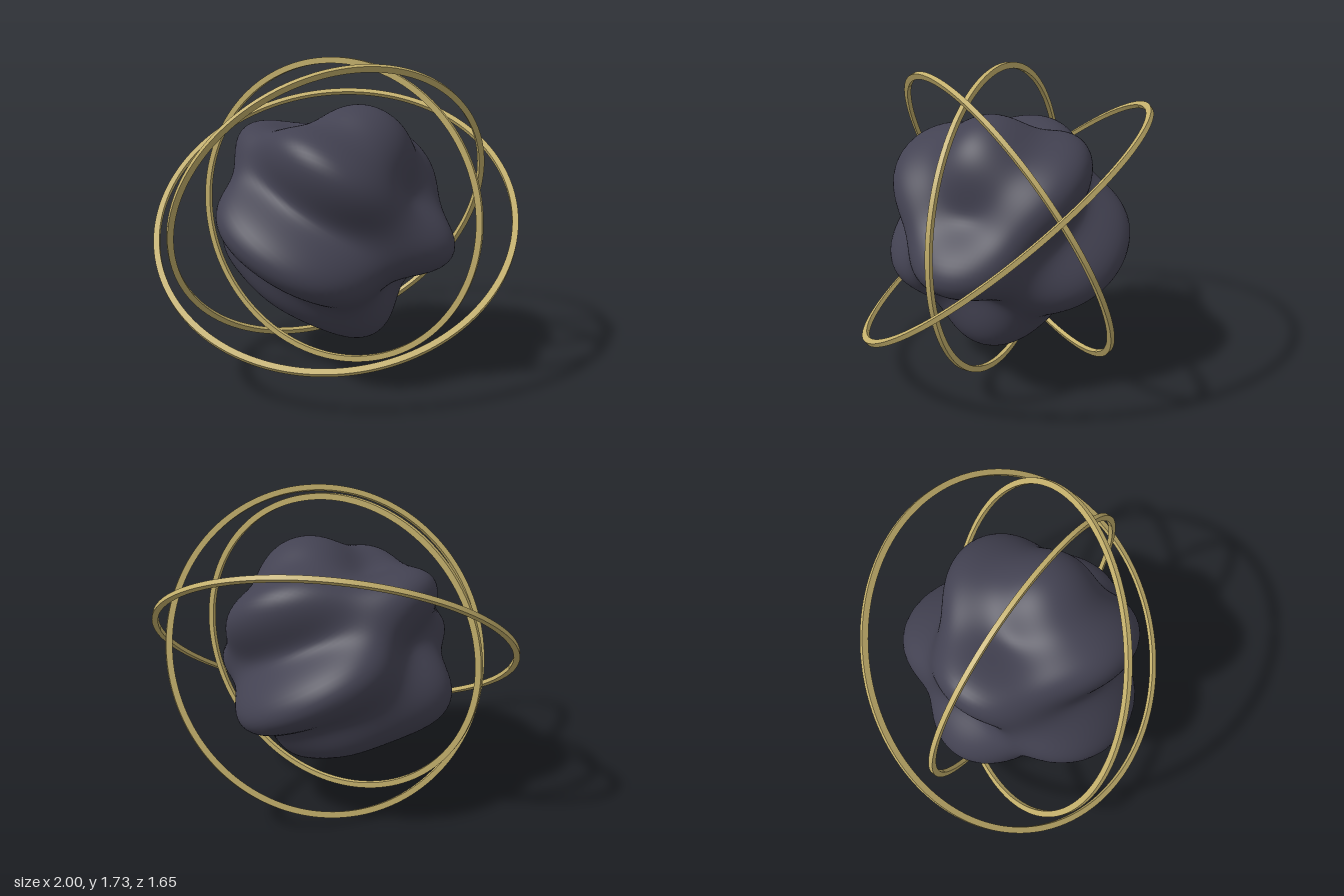
import * as THREE from 'three';
import { mergeVertices, toCreasedNormals } from 'three/addons/utils/BufferGeometryUtils.js';

const CENTRE_Y = 0.87;

// Sphere pushed in and out by crossed waves, with smooth normals
function rippledBlob(radius, amplitude) {
  let geo = new THREE.IcosahedronGeometry(1, 28);
  geo.deleteAttribute('normal');
  geo.deleteAttribute('uv');
  geo = mergeVertices(geo, 1e-4);
  const pos = geo.attributes.position;
  const d = new THREE.Vector3();
  for (let i = 0; i < pos.count; i++) {
    d.fromBufferAttribute(pos, i).normalize();
    const wave = Math.sin(3 * d.x + 6 * d.y) * Math.cos(3 * d.z);
    d.multiplyScalar(radius + amplitude * wave);
    pos.setXYZ(i, d.x, d.y, d.z);
  }
  geo.computeVertexNormals();
  return geo;
}

// Flat band with a rectangular section, its axis along z
function bandRing(outer, width, depth) {
  const shape = new THREE.Shape().absarc(0, 0, outer, 0, Math.PI * 2, false);
  shape.holes.push(new THREE.Path().absarc(0, 0, outer - width, 0, Math.PI * 2, true));
  const geo = new THREE.ExtrudeGeometry(shape, { depth, bevelEnabled: false, curveSegments: 96 });
  geo.translate(0, 0, -depth / 2);
  return toCreasedNormals(geo, 0.6);
}

export function createModel() {
  const model = new THREE.Group();
  model.name = 'ringedBlob';

  const slate = new THREE.MeshStandardMaterial({ color: 0x434252 });
  slate.name = 'dark slate';
  const gold = new THREE.MeshStandardMaterial({ color: 0xc4b06c });
  gold.name = 'pale gold';

  // Core
  const core = new THREE.Mesh(rippledBlob(0.605, 0.112), slate);
  core.name = 'core';
  core.position.y = CENTRE_Y;
  model.add(core);

  // Three nested rings: name, outer radius, axis direction
  const rings = [
    ['innerRing', 0.865, [0, 0, 1]],
    ['middleRing', 0.94, [0.688, -0.461, 0.561]],
    ['outerRing', 1.017, [0.207, 0.776, 0.594]],
  ];
  const zAxis = new THREE.Vector3(0, 0, 1);
  for (const [name, outer, axis] of rings) {
    const ring = new THREE.Mesh(bandRing(outer, 0.033, 0.025), gold);
    ring.name = name;
    ring.position.y = CENTRE_Y;
    ring.quaternion.setFromUnitVectors(zAxis, new THREE.Vector3(...axis).normalize());
    model.add(ring);
  }
  return model;
}
